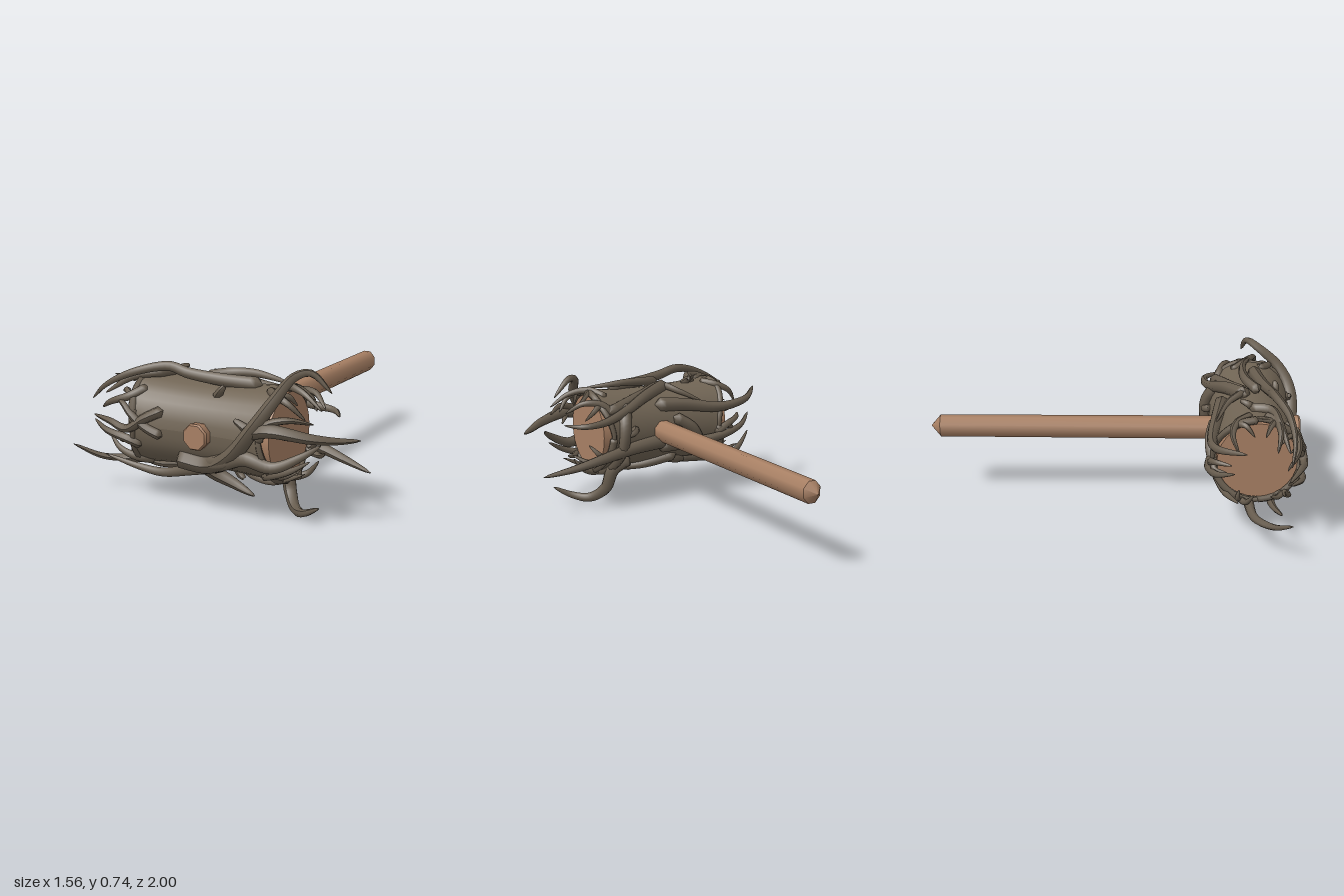
import * as THREE from 'three';

const CY = 0.42, CZ = 0.725; // axis of the hammer head, running along x

// Point around the head: x along the axis, angle 0 = front, 90 = up, 180 = back
function around([x, deg, r]) {
  const a = THREE.MathUtils.degToRad(deg);
  return new THREE.Vector3(x, CY + r * Math.sin(a), CZ + r * Math.cos(a));
}

// Root: a tube through the points, rounded at its base and tapering to a tip
function rootGeometry(radius, points, tip = 0.04) {
  const curve = new THREE.CatmullRomCurve3(points.map(around), false, 'centripetal');
  const segs = points.length * 5, sides = 7;
  const geo = new THREE.TubeGeometry(curve, segs, radius, sides, false);
  const pos = geo.attributes.position, v = new THREE.Vector3();
  for (let i = 0; i <= segs; i++) {
    const t = i / segs;
    const centre = curve.getPointAt(t);
    const scale = i === 0 ? 0 : tip + (1 - tip) * Math.pow(1 - t, 0.55);
    for (let j = 0; j <= sides; j++) {
      const k = i * (sides + 1) + j;
      v.fromBufferAttribute(pos, k).sub(centre).multiplyScalar(scale).add(centre);
      pos.setXYZ(k, v.x, v.y, v.z);
    }
  }
  geo.computeVertexNormals();
  return geo;
}

export function createModel() {
  const wood = new THREE.MeshStandardMaterial({ name: 'wood', color: 0xa88064 });
  const bark = new THREE.MeshStandardMaterial({ name: 'bark', color: 0x706454, side: THREE.DoubleSide });
  const rootBark = new THREE.MeshStandardMaterial({ name: 'rootBark', color: 0x675c4e });
  const model = new THREE.Group();
  model.name = 'rootHammer';

  function add(parent, name, geo, mat) {
    const mesh = new THREE.Mesh(geo, mat);
    mesh.name = name;
    parent.add(mesh);
  }

  // Handle: eight-sided shaft narrowing sideways to a pointed butt, flared front end
  const handle = new THREE.Group();
  handle.name = 'handle';
  model.add(handle);
  function handlePart(name, rFront, rBack, zFront, zBack) {
    const geo = new THREE.CylinderGeometry(rFront, rBack, zFront - zBack, 8);
    geo.rotateY(Math.PI / 8).rotateX(Math.PI / 2).translate(0, 0.415, (zFront + zBack) / 2);
    const pos = geo.attributes.position;
    for (let i = 0; i < pos.count; i++) {
      const narrow = pos.getZ(i) < 0 ? 0.86 : 1;
      pos.setX(i, 0.02 + pos.getX(i) * narrow);
    }
    add(handle, name, geo, wood);
  }
  handlePart('shaft', 0.063, 0.061, 0.9, -0.95);
  handlePart('buttPoint', 0.061, 0.002, -0.95, -1);
  handlePart('handleFlare', 0.069, 0.06, 0.975, 0.9);
  handlePart('handleEnd', 0.062, 0.069, 0.985, 0.975);

  // Head: wooden core inside a waisted bark sleeve with uneven ends
  const core = new THREE.CylinderGeometry(0.206, 0.206, 0.79, 28);
  core.rotateZ(Math.PI / 2).translate(0, CY, CZ);
  add(model, 'headCore', core, wood);

  const sleeve = new THREE.CylinderGeometry(0.225, 0.225, 2, 32, 12, true).rotateZ(Math.PI / 2);
  const p = sleeve.attributes.position;
  for (let i = 0; i < p.count; i++) {
    const u = p.getX(i), y = p.getY(i), z = p.getZ(i);
    const a = Math.atan2(y, z);
    const length = 0.375 - 0.022 * Math.cos(2 * a) + 0.008 * Math.sin(5 * a);
    const swell = 0.94 + 0.08 * u * u;
    p.setXYZ(i, u * length, CY + y * swell * 1.03, CZ + z * swell);
  }
  sleeve.computeVertexNormals();
  add(model, 'barkSleeve', sleeve, bark);

  // Roots: [radius, [x, angle, distance from axis], ...]
  const frontRoots = [
    [0.052, [-0.14, -42, 0.22], [0.05, -44, 0.23], [0.2, -20, 0.235], [0.33, 18, 0.245], [0.4, 48, 0.26],
      [0.45, 80, 0.3], [0.51, 90, 0.31], [0.61, 96, 0.22]],
    [0.05, [0.0, -52, 0.22], [0.15, -32, 0.235], [0.28, -20, 0.24], [0.42, -27, 0.24], [0.55, -16, 0.18], [0.62, 0, 0.11]],
    [0.04, [0.27, 10, 0.22], [0.42, 17, 0.24], [0.6, 14, 0.18], [0.7, 16, 0.1], [0.78, 50, 0.03]],
    [0.045, [0.0, -42, 0.22], [0.05, -58, 0.24], [0.15, -66, 0.275], [0.27, -68, 0.32]],
    [0.034, [0.06, -48, 0.23], [-0.1, -66, 0.245], [-0.28, -72, 0.28], [-0.42, -70, 0.27], [-0.6, -60, 0.24]],
    [0.03, [-0.19, 24, 0.22], [-0.29, 10, 0.23], [-0.38, -4, 0.24], [-0.5, 0, 0.21], [-0.65, 0, 0.14]],
    [0.026, [-0.19, -10, 0.22], [-0.28, 0, 0.23], [-0.36, 14, 0.24], [-0.42, 26, 0.24], [-0.52, 34, 0.18]],
  ];
  const upperRoots = [
    [0.036, [0.26, 86, 0.23], [0.05, 78, 0.245], [-0.12, 72, 0.275], [-0.22, 72, 0.3], [-0.4, 58, 0.29],
      [-0.55, 45, 0.24], [-0.65, 30, 0.17]],
    [0.036, [0.36, 145, 0.23], [0.1, 118, 0.23], [-0.04, 104, 0.24], [-0.12, 125, 0.245], [-0.24, 146, 0.25]],
    [0.04, [-0.08, 100, 0.23], [0.1, 125, 0.235], [0.25, 145, 0.24], [0.4, 158, 0.25], [0.52, 160, 0.24], [0.6, 148, 0.15]],
    [0.03, [-0.05, 84, 0.24], [0.06, 98, 0.26], [0.18, 100, 0.27], [0.3, 96, 0.26], [0.4, 88, 0.25]],
    [0.03, [-0.25, 100, 0.23], [-0.3, 75, 0.25], [-0.42, 64, 0.24], [-0.57, 40, 0.19]],
  ];
  const rearRoots = [
    [0.045, [0.0, 196, 0.21], [0.22, 200, 0.23], [0.42, 206, 0.26], [0.58, 216, 0.26], [0.75, 229, 0.25]],
    [0.042, [0.05, 138, 0.21], [-0.12, 145, 0.23], [-0.34, 156, 0.25], [-0.52, 150, 0.25], [-0.67, 115, 0.18]],
    [0.038, [0.05, 208, 0.21], [-0.12, 204, 0.23], [-0.34, 196, 0.25], [-0.5, 188, 0.21], [-0.6, 170, 0.13]],
    [0.034, [-0.05, 160, 0.21], [-0.16, 180, 0.23], [-0.24, 208, 0.24], [-0.36, 228, 0.25], [-0.54, 240, 0.2]],
    [0.04, [0.24, 130, 0.22], [0.27, 165, 0.235], [0.29, 200, 0.24], [0.32, 235, 0.24], [0.37, 265, 0.24], [0.42, 290, 0.23]],
    [0.044, [0.22, 220, 0.22], [0.31, 238, 0.25], [0.345, 252, 0.34], [0.41, 265, 0.385], [0.49, 275, 0.375], [0.59, 282, 0.33]],
    [0.034, [-0.16, 262, 0.22], [-0.4, 262, 0.245], [-0.55, 268, 0.255], [-0.66, 286, 0.25], [-0.78, 312, 0.23]],
    [0.032, [-0.1, 230, 0.22], [0.08, 250, 0.23], [0.2, 270, 0.235], [0.34, 282, 0.24], [0.52, 296, 0.18]],
    [0.03, [0.0, 235, 0.21], [-0.12, 245, 0.23], [-0.22, 268, 0.235], [-0.32, 286, 0.24], [-0.44, 302, 0.21]],
  ];
  for (const [name, list] of Object.entries({ frontRoot: frontRoots, upperRoot: upperRoots, rearRoot: rearRoots })) {
    const group = new THREE.Group();
    group.name = name + 's';
    model.add(group);
    for (const [radius, ...pts] of list) add(group, name, rootGeometry(radius, pts), rootBark);
  }

  // Claws curling over each end: [angle, reach in x, tip distance, twist]
  const claws = {
    left: [[92, 0.6, 0.16, -24], [62, 0.53, 0.14, -14], [130, 0.56, 0.14, -16], [212, 0.54, 0.14, 16],
      [256, 0.52, 0.15, -12], [-44, 0.58, 0.16, 16], [24, 0.58, 0.14, 18]],
    right: [[68, 0.57, 0.15, -12], [118, 0.52, 0.14, 20], [182, 0.52, 0.14, -14], [250, 0.5, 0.15, 12],
      [-52, 0.56, 0.16, 16], [-18, 0.64, 0.15, 10], [36, 0.6, 0.14, -18]],
  };
  for (const [name, side] of [['left', 1], ['right', -1]]) {
    const group = new THREE.Group();
    group.name = name + 'Claws';
    model.add(group);
    for (const [deg, reach, r, twist] of claws[name]) {
      const mid = 0.39 + (reach - 0.39) * 0.5;
      const main = [[0.32, deg - twist, 0.22], [0.39, deg, 0.235], [mid, deg + twist * 0.5, 0.22], [reach, deg + twist, r]];
      const prong = [[0.39, deg, 0.23], [0.43, deg - twist * 0.5, 0.22], [mid, deg - twist, r + 0.02]];
      for (const [radius, pts] of [[0.026, main], [0.019, prong]]) {
        add(group, 'claw', rootGeometry(radius, pts.map(([x, d, q]) => [x * side, d, q])), rootBark);
      }
    }
    // Wavy root around the rim, laid as overlapping arcs
    for (let k = 0; k < 4; k++) {
      const pts = [];
      for (let j = 0; j < 6; j++) {
        const deg = k * 90 + j * 22;
        const a = THREE.MathUtils.degToRad(deg);
        pts.push([side * (0.372 - 0.022 * Math.cos(2 * a) + 0.01 * Math.sin(3 * a + k)), deg, 0.226]);
      }
      add(group, 'rimRoot', rootGeometry(0.022, pts, 0.4), rootBark);
    }
  }

  // Short snapped twigs
  const stubs = [
    [0.026, [0.06, 58, 0.2], [0.09, 58, 0.24], [0.11, 62, 0.26]],
    [0.026, [0.32, 12, 0.22], [0.27, 18, 0.23], [0.22, 24, 0.24]],
    [0.026, [0.1, 268, 0.2], [0.12, 270, 0.24], [0.15, 272, 0.26]],
    [0.024, [-0.22, 92, 0.21], [-0.24, 100, 0.25], [-0.22, 108, 0.27]],
    [0.024, [0.2, 172, 0.21], [0.22, 176, 0.24], [0.27, 180, 0.25]],
  ];
  for (const [radius, ...pts] of stubs) add(model, 'twigStub', rootGeometry(radius, pts, 0.35), rootBark);

  return model;
}
